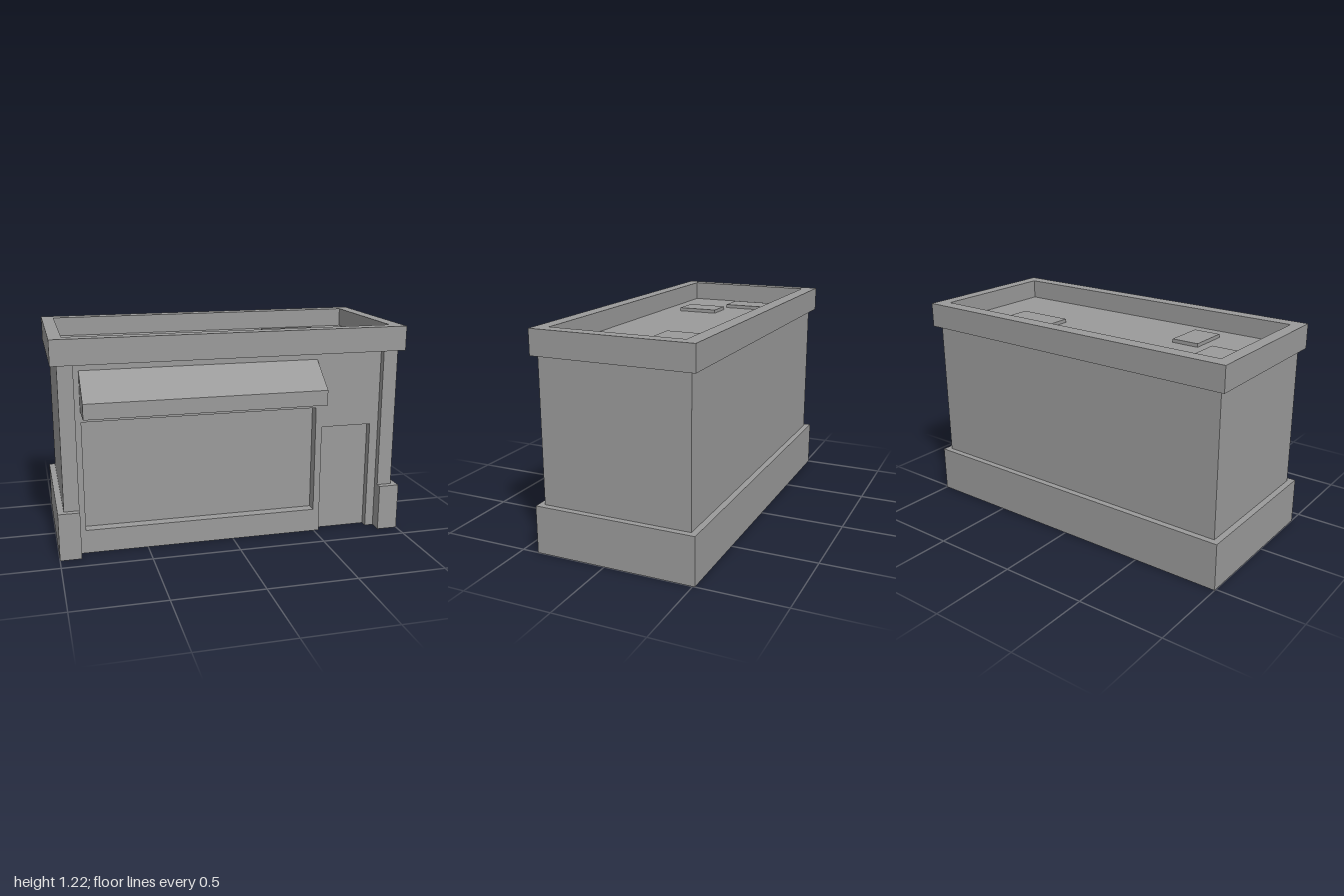
import * as THREE from 'three';

const material = new THREE.MeshStandardMaterial({ color: 0x9a9a9a, flatShading: true });

export function createModel() {
  const model = new THREE.Group();
  model.name = 'shopBuilding';

  const add = (name, geometry) => {
    const mesh = new THREE.Mesh(geometry, material);
    mesh.name = name;
    model.add(mesh);
  };
  // Box given by its limits on each axis
  const box = (name, [x0, x1], [y0, y1], [z0, z1]) =>
    add(name, new THREE.BoxGeometry(x1 - x0, y1 - y0, z1 - z0)
      .translate((x0 + x1) / 2, (y0 + y1) / 2, (z0 + z1) / 2));
  const outline = (points) => new THREE.Shape(points.map(([x, y]) => new THREE.Vector2(x, y)));
  const rect = (x0, x1, y0, y1) => outline([[x0, y0], [x1, y0], [x1, y1], [x0, y1]]);
  const extrude = (shape, depth) => new THREE.ExtrudeGeometry(shape, { depth, bevelEnabled: false });
  // Floor plan (x, z) raised from y0 to y1
  const plan = (name, shape, y0, y1) =>
    add(name, extrude(shape, y1 - y0).rotateX(Math.PI / 2).translate(0, y1, 0));

  // Main body and corner pillars
  box('body', [-0.965, 0.965], [0, 1.08], [-0.477, 0.27]);
  box('leftPillar', [0.88, 0.965], [0, 1.08], [0.27, 0.37]);
  box('rightPillar', [-0.965, -0.88], [0, 1.08], [0.27, 0.37]);

  // Recessed front wall with a window opening and a doorway
  const wall = outline([
    [-0.88, 0], [0.53, 0], [0.53, 0.64], [0.83, 0.64], [0.83, 0], [0.88, 0], [0.88, 1.08], [-0.88, 1.08],
  ]);
  wall.holes.push(rect(-0.847, 0.492, 0.135, 0.757));
  add('frontWall', extrude(wall, 0.062).translate(0, 0, 0.27));
  box('door', [0.53, 0.83], [0, 0.64], [0.27, 0.29]);

  // Plinth wrapping the back, the sides and the pillar feet
  const half = [[1, -0.512], [1, 0.405], [0.88, 0.405], [0.88, 0.37], [0.965, 0.37], [0.965, -0.477]];
  const mirrored = half.map(([x, z]) => [-x, z]).reverse();
  plan('plinth', outline([...half, ...mirrored]), 0, 0.27);

  // Awning: side profile in (x, y) turned to face +z and swept along x
  const awning = outline([[0.332, 0.815], [0.512, 0.815], [0.512, 0.9], [0.332, 1.04]]);
  add('awning', extrude(awning, 1.34).rotateY(-Math.PI / 2).translate(0.49, 0, 0));

  // Parapet ring, roof deck and roof hatches
  const parapet = rect(-1, 1, -0.512, 0.395);
  parapet.holes.push(rect(-0.93, 0.927, -0.433, 0.32));
  plan('parapet', parapet, 1.08, 1.22);
  box('roofDeck', [-0.93, 0.927], [1.08, 1.11], [-0.433, 0.32]);
  [
    [[-0.805, -0.64], [-0.25, -0.015]],
    [[-0.56, -0.4], [-0.03, 0.205]],
    [[0.343, 0.67], [-0.285, -0.055]],
  ].forEach(([x, z], i) => box(`roofHatch${i + 1}`, x, [1.11, 1.13], z));

  return model;
}
